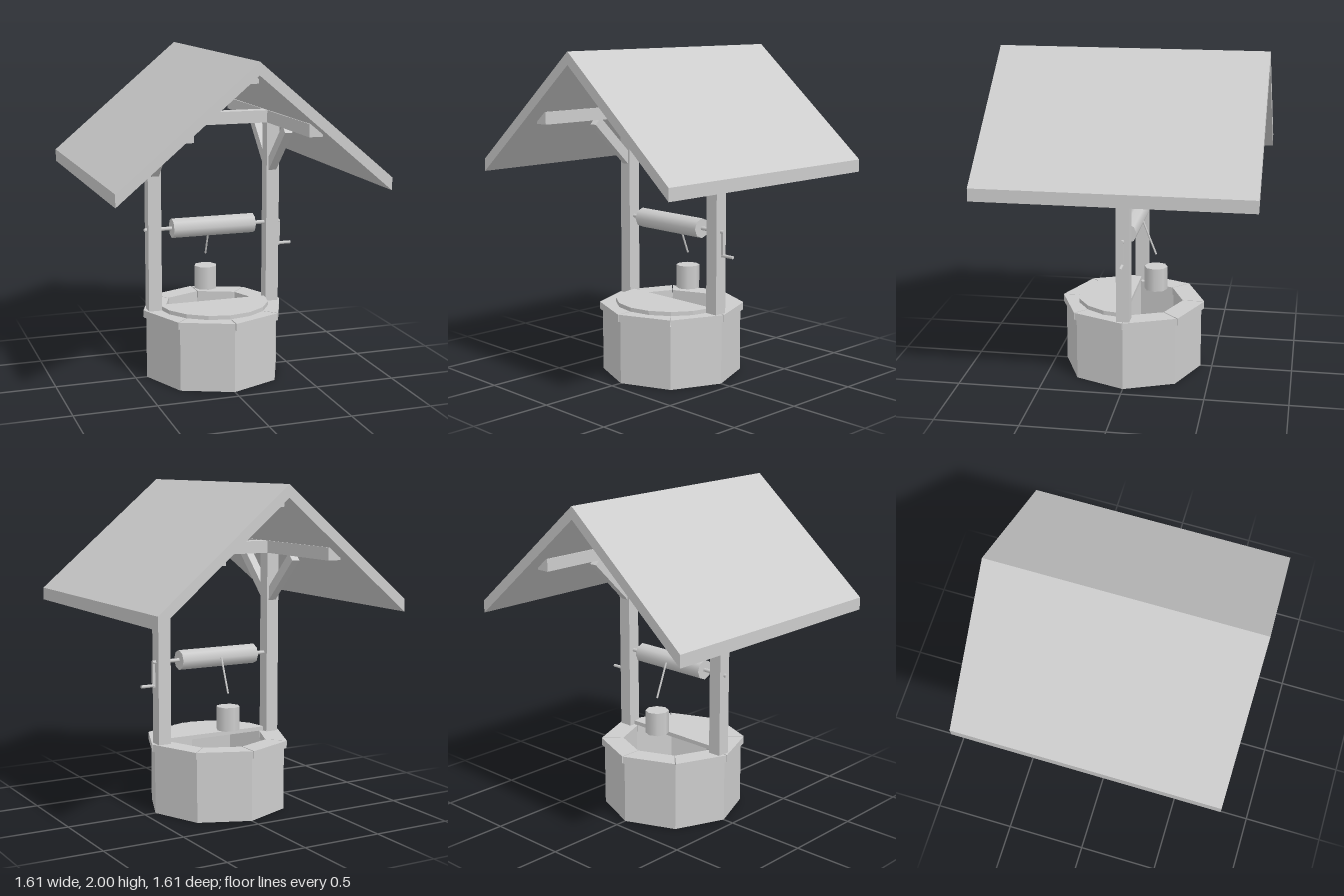
import * as THREE from 'three';

const stone = new THREE.MeshStandardMaterial({ color: 0xcccccc });
stone.name = 'plain grey';

export function createModel() {
  const well = new THREE.Group();
  well.name = 'wishingWell';

  const add = (name, geometry, x = 0, y = 0, z = 0) => {
    const mesh = new THREE.Mesh(geometry, stone);
    mesh.name = name;
    mesh.position.set(x, y, z);
    well.add(mesh);
    return mesh;
  };
  const box = (name, w, h, d, x, y, z) => add(name, new THREE.BoxGeometry(w, h, d), x, y, z);
  const polar = (r, a) => new THREE.Vector2(r * Math.cos(a), r * Math.sin(a));
  const ring = (r, n) => Array.from({ length: n }, (_, i) => polar(r, (i / n) * Math.PI * 2));
  const toShape = (pts) => new THREE.Shape(pts.map((p) => (p.isVector2 ? p : new THREE.Vector2(...p))));
  const extrude = (shape, depth) => new THREE.ExtrudeGeometry(shape, { depth, bevelEnabled: false });
  // Profile in x/y, centred along z
  const beam = (pts, length) => extrude(toShape(pts), length).translate(0, 0, -length / 2);
  // Plan outline laid flat, rising along y
  const slab = (shape, height) => extrude(shape, height).rotateX(-Math.PI / 2);
  // Straight round bar between two points
  const rod = (name, a, b, r, sides) => {
    const from = new THREE.Vector3(...a), to = new THREE.Vector3(...b);
    const dir = to.clone().sub(from);
    const mesh = add(name, new THREE.CylinderGeometry(r, r, dir.length(), sides));
    mesh.position.copy(from).add(to).multiplyScalar(0.5);
    mesh.quaternion.setFromUnitVectors(new THREE.Vector3(0, 1, 0), dir.normalize());
    return mesh;
  };

  // Open octagonal shaft
  const shaft = toShape(ring(0.428, 8));
  shaft.holes.push(new THREE.Path(ring(0.32, 8)));
  add('shaftWall', slab(shaft, 0.385));

  // Rim of eight mitred stones with narrow gaps
  const gap = 0.007;
  for (let i = 0; i < 8; i++) {
    const a = (i * Math.PI) / 4 + gap, b = ((i + 1) * Math.PI) / 4 - gap;
    const stoneShape = toShape([polar(0.31, a), polar(0.445, a), polar(0.445, b), polar(0.31, b)]);
    add('rimStone', slab(stoneShape, 0.045), 0, 0.385, 0);
  }

  // Half-round cover over the front of the opening
  const cover = Array.from({ length: 9 }, (_, i) => polar(0.345, Math.PI + (i * Math.PI) / 8));
  add('halfCover', slab(toShape(cover), 0.025), 0, 0.43, 0);

  // Posts, purlins and diagonal braces, mirrored left and right
  const brace = [[0.04, 1.265], [0.305, 1.53], [0.275, 1.56], [0.25, 1.56], [0.04, 1.35]];
  for (const s of [1, -1]) {
    box('post', 0.082, 1.175, 0.08, s * 0.379, 0.9725, 0);
    const purlin = [[0.338, 1.56], [0.42, 1.56], [0.42, 1.573], [0.345, 1.635], [0.338, 1.635]]
      .map(([x, y]) => [s * x, y]);
    add('purlin', beam(purlin, 1.4));
    for (const turn of [0, Math.PI]) {
      const mesh = add('brace', beam(brace, 0.05).rotateY(-Math.PI / 2), s * 0.375, 0, 0);
      mesh.rotation.y = turn;
    }
  }

  // Tie beam, king post and ridge beam
  box('tieBeam', 0.68, 0.075, 0.08, 0, 1.5975, 0);
  box('kingPost', 0.07, 0.235, 0.07, 0, 1.7525, 0);
  add('ridgeBeam', beam([[-0.035, 1.87], [0.035, 1.87], [0.035, 1.895], [0, 1.925], [-0.035, 1.895]], 1.4));

  // Gable roof
  add('roof', beam([
    [0, 1.925], [0.807, 1.25], [0.807, 1.325], [0, 2], [-0.807, 1.325], [-0.807, 1.25],
  ], 1.614));

  // Windlass: axle, drum and crank
  rod('axle', [-0.435, 0.932, 0], [0.44, 0.932, 0], 0.012, 8);
  rod('drum', [-0.262, 0.932, 0], [0.262, 0.932, 0], 0.061, 8);
  box('crankArm', 0.016, 0.16, 0.016, 0.434, 0.86, 0);
  rod('crankHandle', [0.428, 0.79, 0], [0.516, 0.79, 0], 0.01, 8);

  // Slanted rope and hanging bucket
  rod('rope', [0, 0.935, -0.06], [0, 0.725, -0.142], 0.006, 8);
  add('bucket', new THREE.CylinderGeometry(0.072, 0.072, 0.145, 8), 0, 0.575, -0.142);

  return well;
}
